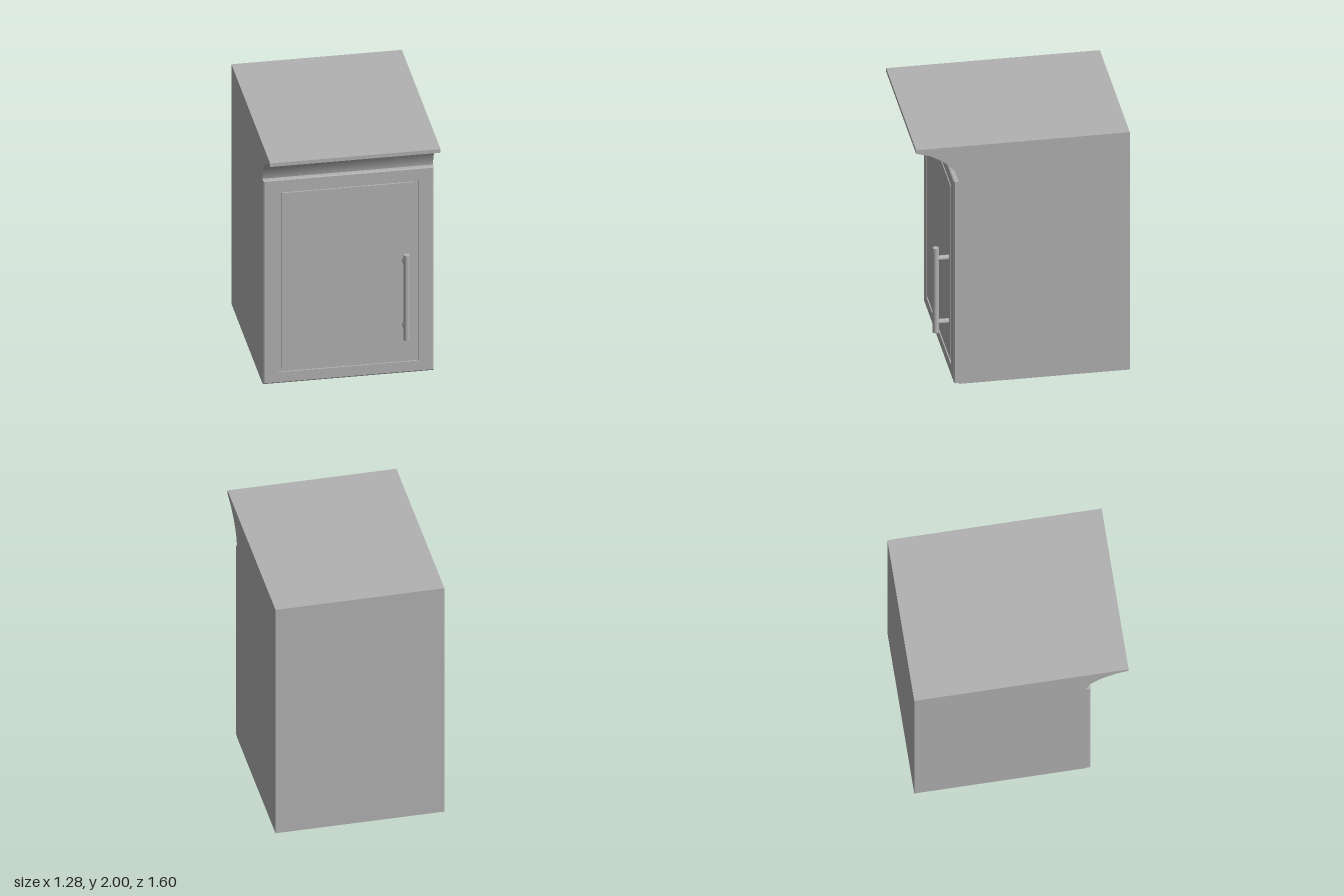
import * as THREE from 'three';
import { toCreasedNormals } from 'three/addons/utils/BufferGeometryUtils.js';

// Skin a series of nested rectangles [halfWidth, bottom, top, z], closing the last one
function rectangleLoft(loops) {
  const corners = loops.map(([w, y0, y1, z]) => [[-w, y0, z], [w, y0, z], [w, y1, z], [-w, y1, z]]);
  const pos = [];
  const quad = (a, b, c, d) => pos.push(...a, ...b, ...c, ...a, ...c, ...d);
  for (let i = 0; i < corners.length - 1; i++) {
    const a = corners[i], b = corners[i + 1];
    for (let k = 0; k < 4; k++) {
      const n = (k + 1) % 4;
      quad(a[k], a[n], b[n], b[k]);
    }
  }
  quad(...corners[corners.length - 1]);
  const geo = new THREE.BufferGeometry();
  geo.setAttribute('position', new THREE.Float32BufferAttribute(pos, 3));
  geo.computeVertexNormals();
  return geo;
}

export function createModel() {
  const group = new THREE.Group();
  const grey = new THREE.MeshStandardMaterial({ color: 0xb2b2b2 });
  grey.name = 'cabinet grey';

  const add = (name, geometry, parent = group) => {
    const mesh = new THREE.Mesh(geometry, grey);
    mesh.name = name;
    parent.add(mesh);
    return mesh;
  };

  // Cabinet body: side profile (z, y) with a concave cove under the top's overhang
  const profile = new THREE.Shape([
    [-0.8, 0], [0.48, 0], [0.48, 1.705], [0.52, 1.805], [0.597, 1.882],
    [0.697, 1.94], [0.803, 1.97], [0.803, 2], [-0.8, 2],
  ].map(([z, y]) => new THREE.Vector2(z, y)));
  const body = new THREE.ExtrudeGeometry(profile, { depth: 1.28, bevelEnabled: false });
  body.translate(0, 0, -0.64).rotateY(-Math.PI / 2);
  body.scale(1, 1, 1);
  add('cabinetBody', toCreasedNormals(body, 0.48));

  // Door: chamfered edge and a square groove around the centre panel
  add('door', rectangleLoft([
    [0.64, 0.008, 1.705, 0.48],
    [0.64, 0.008, 1.705, 0.512],
    [0.632, 0.018, 1.699, 0.52],
    [0.525, 0.1, 1.612, 0.52],
    [0.525, 0.1, 1.612, 0.508],
    [0.5, 0.126, 1.592, 0.508],
    [0.5, 0.126, 1.592, 0.52],
  ]));

  // Bar handle on two round standoffs
  const handle = new THREE.Group();
  handle.name = 'handle';
  group.add(handle);
  add('handleBar', new THREE.CylinderGeometry(0.023, 0.023, 0.71, 24), handle)
    .position.set(0.42, 0.687, 0.617);
  for (const y of [0.418, 0.953]) {
    const post = new THREE.CylinderGeometry(0.02, 0.02, 0.1, 20).rotateX(Math.PI / 2);
    add('handlePost', post, handle).position.set(0.42, y, 0.565);
  }

  return group;
}
